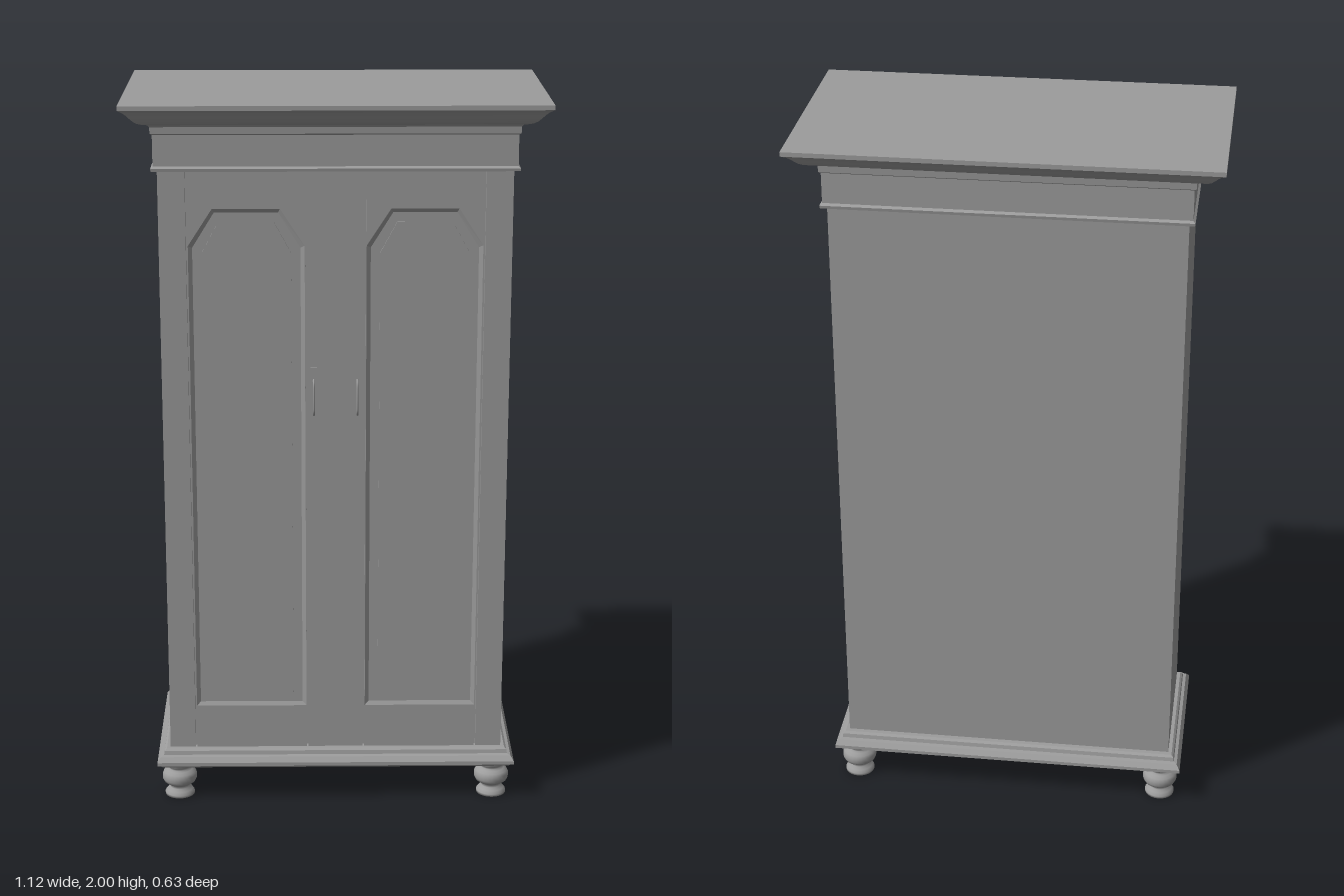
import * as THREE from 'three';

const wood = new THREE.MeshStandardMaterial({ color: 0x9c9c9c });

function add(parent, name, geometry, x = 0, y = 0, z = 0) {
  const mesh = new THREE.Mesh(geometry, wood);
  mesh.name = name;
  mesh.position.set(x, y, z);
  parent.add(mesh);
  return mesh;
}

// Skin a stack of equal-length rings with crisp edges, capping the ends on request
function loft(rings, capStart, capEnd) {
  const pos = [];
  const tri = (...pts) => pts.forEach((p) => pos.push(...p));
  const n = rings[0].length;
  for (let r = 0; r < rings.length - 1; r++) {
    const a = rings[r], b = rings[r + 1];
    for (let i = 0; i < n; i++) {
      const j = (i + 1) % n;
      tri(a[i], a[j], b[j]);
      tri(a[i], b[j], b[i]);
    }
  }
  const first = rings[0], last = rings[rings.length - 1];
  for (let i = 1; i < n - 1; i++) {
    if (capStart) tri(first[0], first[i + 1], first[i]);
    if (capEnd) tri(last[0], last[i], last[i + 1]);
  }
  const g = new THREE.BufferGeometry();
  g.setAttribute('position', new THREE.Float32BufferAttribute(pos, 3));
  g.computeVertexNormals();
  return g;
}

// Mitred moulding around the carcass; profile holds [overhang, height]
const HALF_W = 0.47, HALF_D = 0.2;
function moulding(profile) {
  return loft(profile.map(([o, y]) => {
    const x = HALF_W + o, z = HALF_D + o * 1.27;
    return [[x, y, z], [x, y, -z], [-x, y, -z], [-x, y, z]];
  }), true, true);
}

// Panel outline with clipped upper corners, shrunk by an inset
function panelOutline(inset, z) {
  const w = 0.155 - inset, b = 0.28 + inset, t = 1.71 - inset;
  const s = 1.61 - inset * 0.55, c = 0.09 - inset * 0.45;
  return [[-w, b, z], [w, b, z], [w, s, z], [c, t, z], [-c, t, z], [-w, s, z]];
}

function box(w, h, d) { return new THREE.BoxGeometry(w, h, d); }

export function createModel() {
  const wardrobe = new THREE.Group();
  wardrobe.name = 'wardrobe';

  // Carcass and front posts
  add(wardrobe, 'carcass', box(0.94, 1.68, 0.388), 0, 0.98, -0.006);
  add(wardrobe, 'centreStile', box(0.154, 1.68, 0.016), 0, 0.98, 0.194);
  for (const s of [-1, 1]) add(wardrobe, 'cornerPost', box(0.072, 1.68, 0.016), s * 0.434, 0.98, 0.194);

  // Plinth, frieze and cornice
  add(wardrobe, 'plinth', moulding([
    [0.022, 0.1], [0.028, 0.108], [0.036, 0.112], [0.036, 0.122],
    [0.027, 0.135], [0.018, 0.137], [0.016, 0.148], [0.01, 0.153],
  ]));
  add(wardrobe, 'friezeBead', moulding([
    [0.005, 1.81], [0.015, 1.812], [0.016, 1.82], [0.01, 1.825],
  ]));
  add(wardrobe, 'frieze', moulding([[0.01, 1.815], [0.01, 1.915]]));
  add(wardrobe, 'cornice', moulding([
    [0.01, 1.908], [0.015, 1.912], [0.016, 1.93], [0.02, 1.936], [0.034, 1.94],
    [0.045, 1.945], [0.054, 1.952], [0.062, 1.961], [0.07, 1.971],
    [0.079, 1.98], [0.091, 1.988], [0.091, 2],
  ]));

  // Doors with a bevelled recess and a raised field
  for (const s of [-1, 1]) {
    const door = new THREE.Group();
    door.name = 'door';
    door.position.x = s * 0.2375;
    wardrobe.add(door);

    const frame = new THREE.Shape([
      [-0.1565, 0.15], [0.1565, 0.15], [0.1565, 1.812], [-0.1565, 1.812],
    ].map(([x, y]) => new THREE.Vector2(x, y)));
    frame.holes.push(new THREE.Path(panelOutline(0, 0).map(([x, y]) => new THREE.Vector2(x, y))));
    add(door, 'doorFrame', new THREE.ExtrudeGeometry(frame, { depth: 0.014, bevelEnabled: false }), 0, 0, 0.189);
    add(door, 'doorPanel', loft([
      panelOutline(0, 0.203), panelOutline(0.011, 0.197), panelOutline(0.036, 0.197),
      panelOutline(0.036, 0.201),
    ], false, true));
  }

  // Bow handles on slim back plates
  for (const s of [-1, 1]) {
    const handle = new THREE.Group();
    handle.name = 'handle';
    handle.position.set(s * 0.059, 1.19, 0.202);
    wardrobe.add(handle);
    add(handle, 'backPlate', box(0.018, 0.17, 0.001));
    const bow = new THREE.CatmullRomCurve3([
      [-0.05, 0], [-0.04, 0.011], [-0.02, 0.015], [0.02, 0.015], [0.04, 0.011], [0.05, 0],
    ].map(([y, z]) => new THREE.Vector3(0, y, z)));
    add(handle, 'bow', new THREE.TubeGeometry(bow, 20, 0.003, 8));
  }

  // Turned bun feet
  const footProfile = [
    [0, 0], [0.042, 0], [0.042, 0.007], [0.036, 0.015], [0.028, 0.022], [0.027, 0.029],
    [0.036, 0.034], [0.045, 0.041], [0.049, 0.05], [0.049, 0.062], [0.045, 0.071], [0.036, 0.077],
    [0.031, 0.081], [0.031, 0.086], [0.038, 0.091], [0.038, 0.102],
  ].map(([x, y]) => new THREE.Vector2(x, y));
  for (const x of [-0.447, 0.447]) {
    for (const z of [-0.182, 0.182]) add(wardrobe, 'foot', new THREE.LatheGeometry(footProfile, 24), x, 0, z);
  }

  return wardrobe;
}
